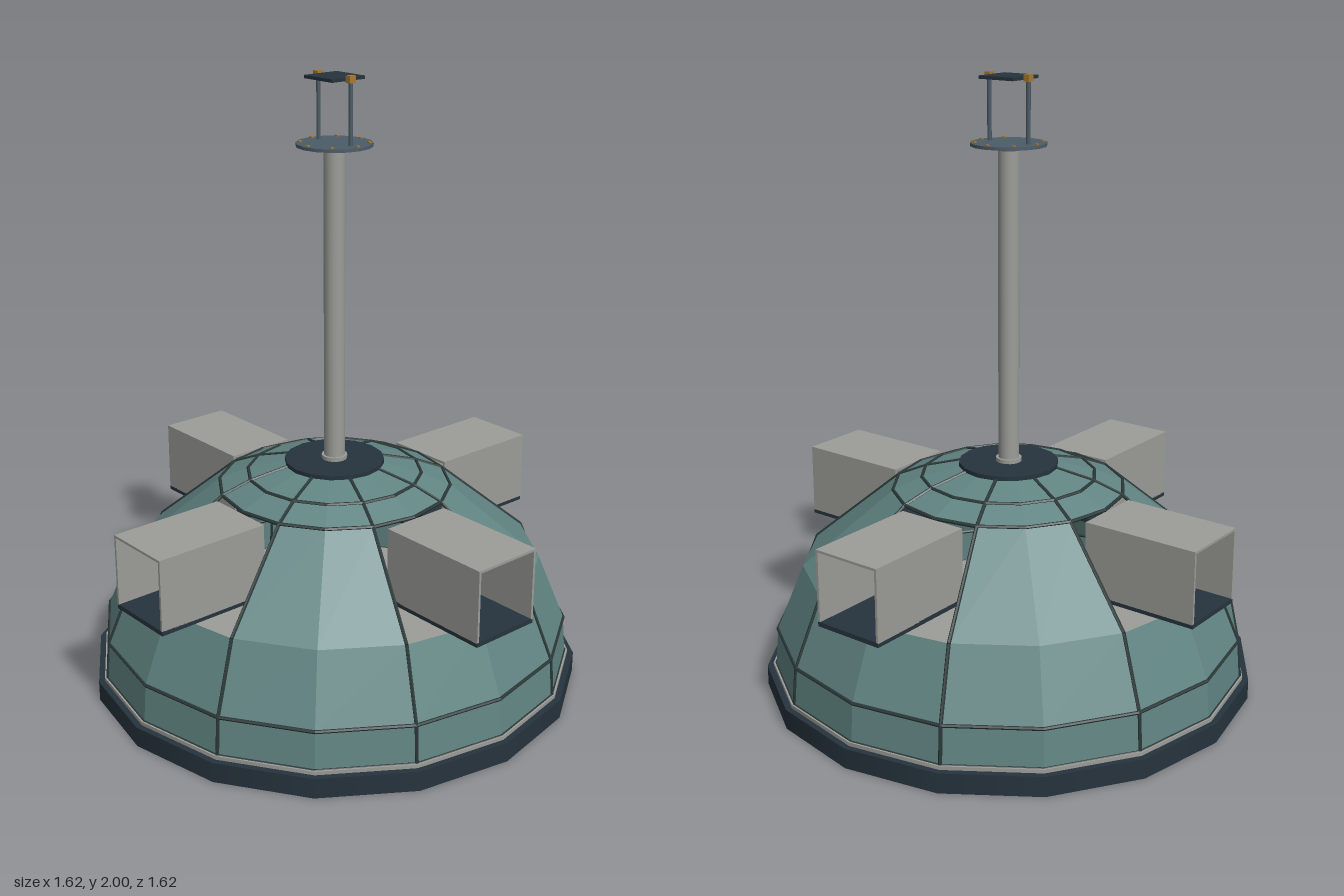
import * as THREE from 'three';

const mat = (color, flat = false, side = THREE.FrontSide) =>
  new THREE.MeshStandardMaterial({ color, flatShading: flat, side });

const TEAL = mat(0x618583, true, THREE.DoubleSide);
const DARK = mat(0x26333d);
const FRAME = mat(0x2b3838, true);
const GREY = mat(0x9c9c98);
const STEEL = mat(0x4c5d69);
const GOLD = mat(0xa87a30);

const SIDES = 16;
const STEP = Math.PI / 8;

function add(parent, name, geometry, material, x = 0, y = 0, z = 0) {
  const mesh = new THREE.Mesh(geometry, material);
  mesh.name = name;
  mesh.position.set(x, y, z);
  parent.add(mesh);
  return mesh;
}

// Upright cylinder between two heights
function drum(parent, name, r, y0, y1, material, sides = SIDES) {
  return add(parent, name, new THREE.CylinderGeometry(r, r, y1 - y0, sides), material, 0, (y0 + y1) / 2, 0);
}

// Thin rod joining two points
function rod(parent, name, a, b, r, material) {
  const dir = b.clone().sub(a);
  const mesh = add(parent, name, new THREE.CylinderGeometry(r, r, dir.length(), 6), material);
  mesh.position.copy(a).add(b).multiplyScalar(0.5);
  mesh.quaternion.setFromUnitVectors(new THREE.Vector3(0, 1, 0), dir.normalize());
}

// Dome outline as [radius, height]
const PROFILE = [[0.78, 0.075], [0.77, 0.2], [0.68, 0.42], [0.38, 0.67], [0.285, 0.71], [0.16, 0.742]];
const OPEN_BAND = 2;

function buildDome() {
  const dome = new THREE.Group();
  dome.name = 'dome';

  for (let i = 0; i < PROFILE.length - 1; i++) {
    const [r0, y0] = PROFILE[i], [r1, y1] = PROFILE[i + 1];
    const band = (segments, start, length) => add(dome, 'domePanel',
      new THREE.CylinderGeometry(r1, r0, y1 - y0, segments, 1, true, start, length), TEAL, 0, (y0 + y1) / 2, 0);
    if (i === OPEN_BAND) {
      // four diagonal panels leave four window openings
      for (let k = 0; k < 4; k++) band(2, STEP + k * Math.PI / 2, Math.PI / 4);
    } else {
      band(SIDES, 0, Math.PI * 2);
    }
  }

  // Ribs following the outline
  for (let k = 0; k < 8; k++) {
    const a = STEP + k * Math.PI / 4;
    const pts = PROFILE.map(([r, y]) => new THREE.Vector3(r * Math.sin(a), y, r * Math.cos(a)));
    for (let i = 0; i < pts.length - 1; i++) rod(dome, 'rib', pts[i], pts[i + 1], 0.006, FRAME);
  }

  // Horizontal seams
  for (const i of [0, 1, 3, 4]) {
    const [r, y] = PROFILE[i];
    add(dome, 'seamRing', new THREE.TorusGeometry(r, 0.006, 6, SIDES).rotateX(Math.PI / 2), FRAME, 0, y, 0);
  }
  return dome;
}

// Open-ended box hood pointing along +z
function buildHood() {
  const hood = new THREE.Group();
  hood.name = 'windowHood';
  const len = 0.39, zc = 0.585, t = 0.008;
  add(hood, 'hoodRoof', new THREE.BoxGeometry(0.24, t, len), GREY, 0, 0.67 - t / 2, zc);
  for (const s of [-1, 1]) {
    add(hood, 'hoodWall', new THREE.BoxGeometry(t, 0.23, len), GREY, s * (0.12 - t / 2), 0.55, zc);
  }
  add(hood, 'hoodFloor', new THREE.BoxGeometry(0.24, 0.015, len), DARK, 0, 0.43, zc);
  return hood;
}

function buildMast() {
  const mast = new THREE.Group();
  mast.name = 'mast';
  drum(mast, 'mastPole', 0.034, 0.75, 1.78, GREY);
  drum(mast, 'lowerCollar', 0.042, 0.755, 0.768, GREY);
  drum(mast, 'upperCollar', 0.04, 1.767, 1.781, STEEL);
  drum(mast, 'platform', 0.12, 1.78, 1.79, STEEL);

  // Small lamps around the platform
  for (let k = 0; k < 8; k++) {
    const a = k * Math.PI / 4;
    add(mast, 'platformLamp', new THREE.BoxGeometry(0.01, 0.005, 0.01), GOLD,
      0.107 * Math.sin(a), 1.792, 0.107 * Math.cos(a));
  }

  // Panel held between two posts
  for (const s of [-1, 1]) {
    rod(mast, 'post', new THREE.Vector3(s * 0.075, 1.79, 0), new THREE.Vector3(s * 0.075, 1.985, 0), 0.007, STEEL);
    add(mast, 'pivot', new THREE.BoxGeometry(0.02, 0.022, 0.024), GOLD, s * 0.075, 1.989, 0);
  }
  add(mast, 'panel', new THREE.BoxGeometry(0.13, 0.01, 0.13), DARK, 0, 1.988, 0);
  return mast;
}

export function createModel() {
  const model = new THREE.Group();
  model.name = 'domedStation';

  drum(model, 'base', 0.81, 0, 0.066, DARK);
  drum(model, 'floor', 0.79, 0.066, 0.078, GREY);
  drum(model, 'centralColumn', 0.11, 0.07, 0.74, GREY, 24);
  model.add(buildDome());
  drum(model, 'roofHub', 0.163, 0.738, 0.755, DARK);

  for (let k = 0; k < 4; k++) {
    const hood = buildHood();
    hood.rotation.y = k * Math.PI / 2;
    model.add(hood);
  }
  model.add(buildMast());
  return model;
}
